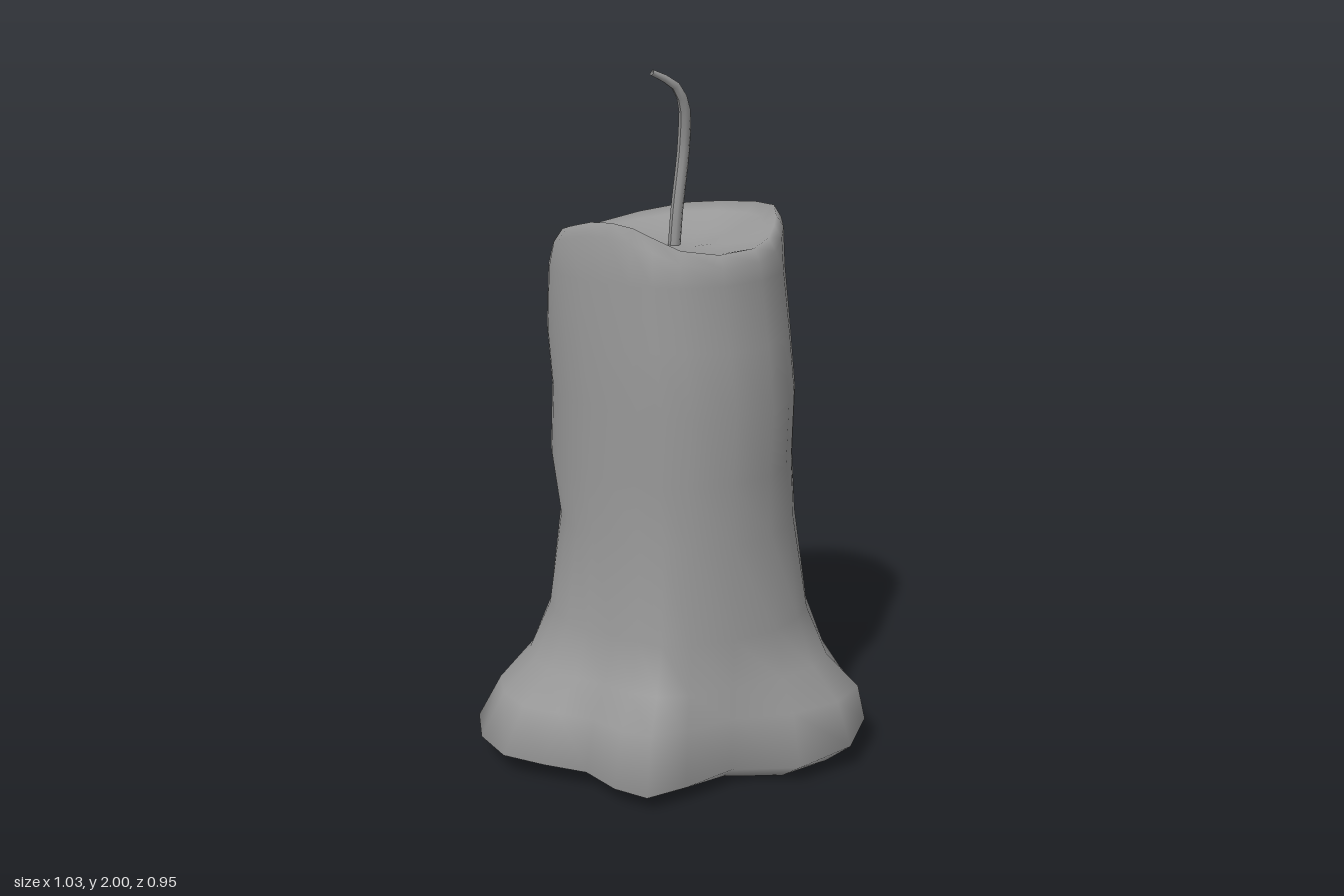
import * as THREE from 'three';

const CX = -0.08, CZ = -0.09, FLOOR = 1.505;

// Melted foot outline, x/z pairs running round the base
const FOOT = [
  [0.03, -0.475], [0.22, -0.415], [0.37, -0.365], [0.485, -0.285], [0.515, -0.155], [0.44, 0], [0.29, 0.13],
  [0.24, 0.28], [0.185, 0.39], [0.085, 0.41], [-0.03, 0.395], [-0.15, 0.44], [-0.275, 0.475], [-0.395, 0.44],
  [-0.485, 0.355], [-0.515, 0.245], [-0.49, 0.07], [-0.47, -0.09], [-0.385, -0.3], [-0.265, -0.425], [-0.13, -0.45],
];

// Height of the wavy rim above each foot point
const RIM = [
  1.6, 1.61, 1.595, 1.575, 1.55, 1.535, 1.53, 1.545, 1.575, 1.6, 1.61,
  1.605, 1.59, 1.575, 1.56, 1.55, 1.535, 1.53, 1.555, 1.58, 1.59,
];

// Shaft and skirt rings: height, skirt blend, left, right, back, front
const SHAFT = [
  [0.21, 0.74, -0.42, 0.30, -0.465, 0.26],
  [0.30, 0.39, -0.42, 0.30, -0.465, 0.26],
  [0.44, 0.16, -0.42, 0.30, -0.465, 0.255],
  [0.72, 0.00, -0.42, 0.30, -0.46, 0.26],
  [0.90, 0.00, -0.455, 0.295, -0.45, 0.26],
  [1.10, 0.00, -0.44, 0.305, -0.44, 0.262],
  [1.27, 0.00, -0.455, 0.285, -0.44, 0.262],
  [1.45, 0.00, -0.44, 0.26, -0.435, 0.26],
];

// Rim and hollow rings: radius scale, share of the rim height, drop
const TOP = [[0.98, 1, 0.035], [0.91, 1, 0], [0.79, 0.7, 0], [0.5, 0.22, 0], [0.2, 0, 0], [0, 0, 0]];

const angleOf = ([x, z]) => Math.atan2(z - CZ, x - CX);

// Shaft cross-section, fuller at the front right and flatter at the back right
function shaftPoint(p, left, right, back, front) {
  const a = angleOf(p);
  const k = 1 + 0.085 * Math.sin(2 * a) * Math.max(0, Math.cos(a));
  return [
    (left + right) / 2 + k * Math.cos(a) * (right - left) / 2,
    (back + front) / 2 + k * Math.sin(a) * (front - back) / 2,
  ];
}

// Joins equal-length rings of points into one smooth skin; the end rings are single points
function loft(rings) {
  const n = rings[0].length, index = [];
  for (let r = 0; r < rings.length - 1; r++) {
    for (let i = 0; i < n; i++) {
      const a = r * n + i, b = r * n + (i + 1) % n;
      if (r === 0) index.push(0, a + n, b + n);
      else index.push(a, b + n, b);
      if (r > 0 && r < rings.length - 2) index.push(a, a + n, b + n);
    }
  }
  const g = new THREE.BufferGeometry();
  g.setAttribute('position', new THREE.Float32BufferAttribute(rings.flat(2), 3));
  g.setIndex(index);
  g.computeVertexNormals();
  return g;
}

function candleGeometry() {
  const rings = [];
  // Underside, tucked in below the foot
  for (const s of [0, 0.87]) {
    rings.push(FOOT.map(([x, z]) => {
      const px = CX + (x - CX) * s, pz = CZ + (z - CZ) * s;
      return [px, 0.012 - 0.03 * px + 0.1 * pz * pz + 0.08 * Math.max(0, -pz), pz];
    }));
  }
  // Widest line of the foot, higher at the back
  rings.push(FOOT.map(([x, z]) => [x, 0.08 - 0.06 * x + 0.2 * Math.max(0, -z) - 0.06 * Math.max(0, z), z]));
  // Skirt rising into the wobbly shaft, heaviest at the back right
  for (const [y, t, ...sides] of SHAFT) {
    rings.push(FOOT.map((p) => {
      const [x, z] = shaftPoint(p, ...sides);
      const run = Math.max(0, Math.cos(angleOf(p) + Math.PI / 4)) ** 8;
      const k = Math.min(0.9, t * (1 + 0.5 * run));
      return [x + (p[0] - x) * k, y, z + (p[1] - z) * k];
    }));
  }
  // Wavy rim and the shallow melted hollow
  for (const [s, wave, drop] of TOP) {
    rings.push(FOOT.map((p, i) => {
      const [x, z] = shaftPoint(p, -0.425, 0.262, -0.43, 0.262);
      return [CX + (x - CX) * s, FLOOR + wave * (RIM[i] - FLOOR) - drop, CZ + (z - CZ) * s];
    }));
  }
  return loft(rings);
}

// Bent wick, thinning towards the tip
function wickGeometry() {
  const path = new THREE.CatmullRomCurve3([
    [-0.077, 1.48, -0.085], [-0.07, 1.6, -0.09], [-0.053, 1.79, -0.1], [-0.036, 1.9, -0.077],
    [-0.04, 1.955, -0.04], [-0.07, 1.99, 0.022],
  ].map((p) => new THREE.Vector3(...p)));
  const steps = 14, sides = 8;
  const g = new THREE.TubeGeometry(path, steps, 0.018, sides, false);
  const pos = g.attributes.position, v = new THREE.Vector3();
  for (let i = 0; i < pos.count; i++) {
    const t = Math.floor(i / (sides + 1)) / steps;
    const c = path.getPointAt(t);
    const k = 1 - 0.5 * Math.max(0, t - 0.65) / 0.35;
    v.fromBufferAttribute(pos, i).sub(c).multiplyScalar(k).add(c);
    pos.setXYZ(i, v.x, v.y, v.z);
  }
  g.computeVertexNormals();
  return g;
}

export function createModel() {
  const group = new THREE.Group();
  group.name = 'candle';
  const material = new THREE.MeshStandardMaterial({ color: 0x989898, side: THREE.DoubleSide });
  const add = (name, geometry) => {
    const mesh = new THREE.Mesh(geometry, material);
    mesh.name = name;
    group.add(mesh);
  };
  add('waxBody', candleGeometry());
  add('wick', wickGeometry());
  return group;
}
